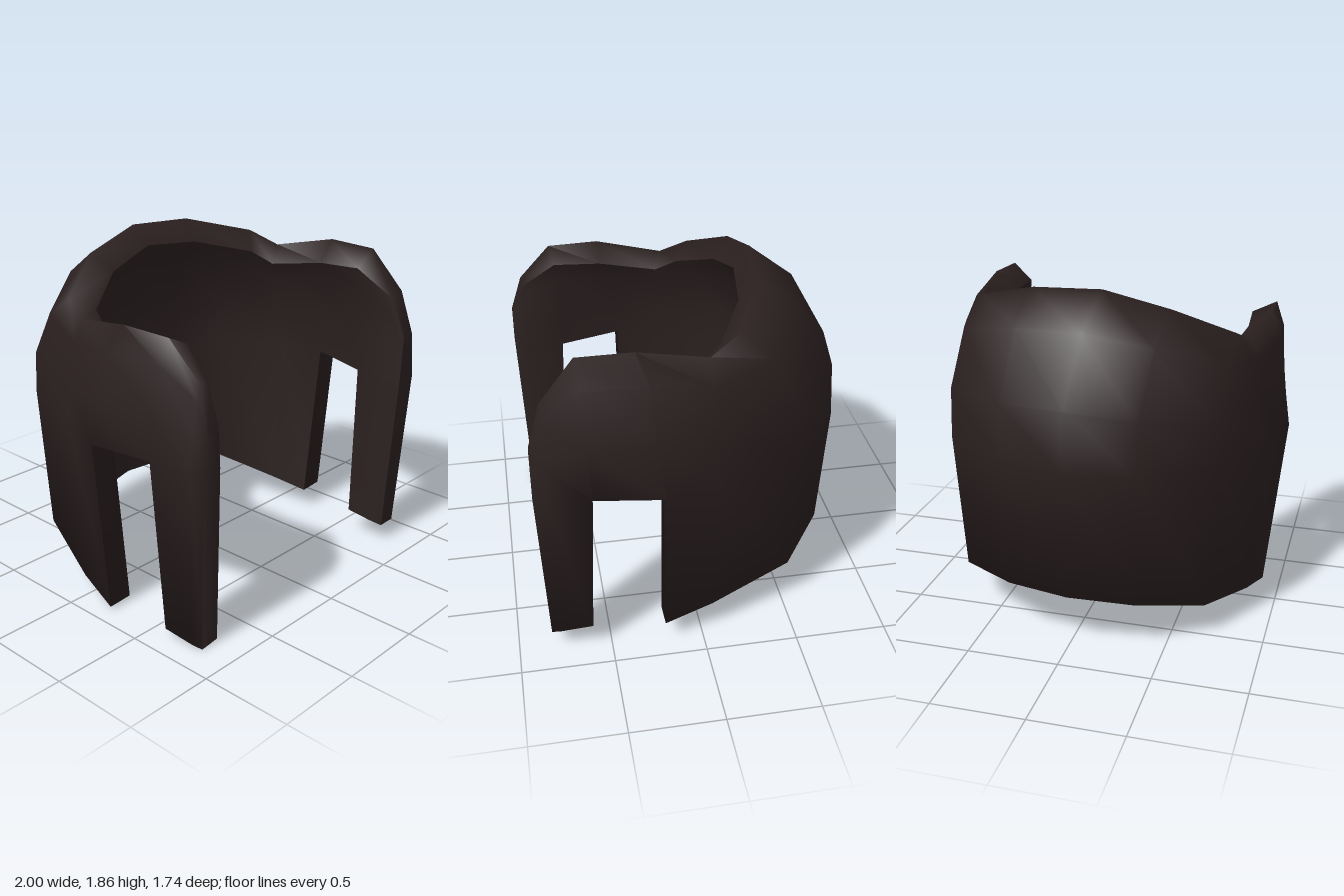
import * as THREE from 'three';
import { toCreasedNormals } from 'three/addons/utils/BufferGeometryUtils.js';

// Half of the shell, from the middle of the back round to the front edge.
// ob, om, ot: outer bottom, middle, top; it, im, ib: inner top, middle, bottom
// curve: how far the wall has leaned in at the two levels below the rim
const MID = 1.02;
const BACK = [0.04, 0.48];
const SIDE = [0.22, 0.5];
const FRONT = [0.35, 0.75];
const column = (curve, ob, om, ot, it, im, ib) => ({
  curve, ob, om: [om[0], MID, om[1]], ot, it, im: [im[0], MID - 0.01, im[1]], ib,
});
const half = [
  column(BACK, [0, 0.305, -0.83], [0, -0.87], [0, 1.865, -0.42], [0, 1.755, -0.33], [0, -0.58], [0, 0.255, -0.6]),
  column(BACK, [0.34, 0.295, -0.77], [0.36, -0.81], [0.37, 1.81, -0.38], [0.32, 1.7, -0.285], [0.315, -0.53], [0.3, 0.243, -0.55]),
  column(BACK, [0.68, 0.23, -0.52], [0.73, -0.545], [0.71, 1.685, -0.2], [0.615, 1.595, -0.12], [0.625, -0.4], [0.605, 0.207, -0.38]),
  column(SIDE, [0.84, 0.13, -0.06], [0.91, -0.06], [0.77, 1.61, -0.045], [0.665, 1.53, 0], [0.765, -0.02], [0.72, 0.115, 0]),
  column(SIDE, [0.9, 0.075, 0.21], [1, 0.22], [0.82, 1.685, 0.33], [0.705, 1.58, 0.33], [0.86, 0.22], [0.76, 0.075, 0.21]),
  column(SIDE, [0.875, 0.1, 0.6], [0.945, 0.575], [0.81, 1.68, 0.62], [0.685, 1.6, 0.6], [0.75, 0.575], [0.7, 0.1, 0.6]),
  column(FRONT, [0.86, 0.075, 0.77], [0.9, 0.8], [0.82, 1.48, 0.8], [0.75, 1.45, 0.79], [0.725, 0.79], [0.695, 0.085, 0.76]),
  column(FRONT, [0.835, 0.055, 0.82], [0.875, 0.865], [0.84, 1.26, 0.865], [0.77, 1.25, 0.86], [0.755, 0.86], [0.725, 0.06, 0.82]),
];

// Domed upper wall: rises first, then leans inward
function bulge(mid, top, rise, lean) {
  return [
    mid[0] + (top[0] - mid[0]) * lean,
    mid[1] + (top[1] - mid[1]) * rise,
    mid[2] + (top[2] - mid[2]) * lean,
  ];
}

// Closed cross-section: up the outside, over the rim, down the inside
function section({ curve: [low, high], ob, om, ot, it, im, ib }) {
  return [
    ob, om, bulge(om, ot, 0.38, low), bulge(om, ot, 0.8, high), ot,
    it, bulge(im, it, 0.8, high), bulge(im, it, 0.38, low), im, ib,
  ];
}

// The shell leans a little to its right
function lean([x, y, z]) {
  const d = y - MID;
  const slope = 0.02 + (d > 0 ? 0.1 * d : -0.045 * d);
  return [x - 0.14 * Math.max(0, d) ** 3, y + slope * x, z];
}

function smoothGeometry(points) {
  const geometry = new THREE.BufferGeometry();
  geometry.setAttribute('position', new THREE.Float32BufferAttribute(points, 3));
  return toCreasedNormals(geometry, 1.8);
}

function shellGeometries() {
  const left = half.map(section);
  const right = left.slice(1).reverse().map((s) => s.map(([x, y, z]) => [-x, y, z]));
  const cols = [...right, ...left].map((s) => s.map(lean));
  const last = cols.length - 1;
  const openings = [2, 11];
  const outer = [];
  const inner = [];
  const quad = (to, a, b, c, d) => to.push(...a, ...b, ...c, ...a, ...c, ...d);
  const band = (to, c, j, k) => quad(to, cols[c][j], cols[c][k], cols[c + 1][k], cols[c + 1][j]);
  const cap = (c, j, forward) => {
    const s = cols[c];
    if (forward) quad(outer, s[j], s[j + 1], s[8 - j], s[9 - j]);
    else quad(outer, s[9 - j], s[8 - j], s[j + 1], s[j]);
  };

  for (let c = 0; c < last; c++) {
    const open = openings.includes(c);
    for (let j = 0; j < 10; j++) {
      if (open && (j === 0 || j >= 8)) continue;
      band(j >= 5 && j <= 8 ? inner : outer, c, j, (j + 1) % 10);
    }
    // Side opening: head and two jambs
    if (open) {
      band(outer, c, 8, 1);
      cap(c, 0, true);
      cap(c + 1, 0, false);
    }
  }
  // Front edges of the posts
  for (let j = 0; j < 4; j++) {
    cap(0, j, false);
    cap(last, j, true);
  }
  return { outerShellAndRim: smoothGeometry(outer), innerWall: smoothGeometry(inner) };
}

export function createModel() {
  const group = new THREE.Group();
  group.name = 'curvedShell';
  const darkBrown = new THREE.MeshStandardMaterial({ color: 0x2a1f1f });
  darkBrown.name = 'darkBrown';
  for (const [name, geometry] of Object.entries(shellGeometries())) {
    const mesh = new THREE.Mesh(geometry, darkBrown);
    mesh.name = name;
    group.add(mesh);
  }
  return group;
}
